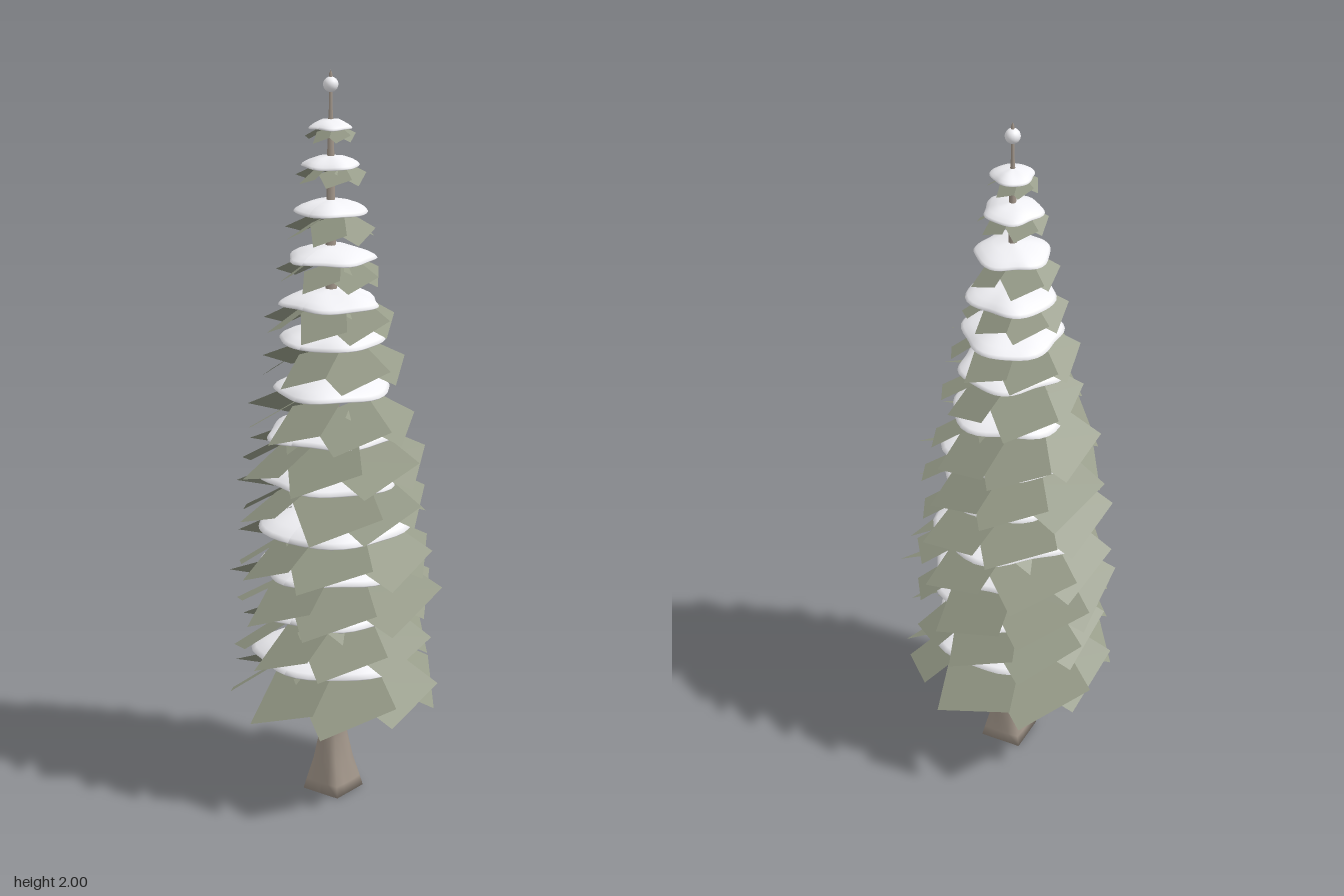
import * as THREE from 'three';
import { mergeGeometries } from 'three/addons/utils/BufferGeometryUtils.js';

// [snow rim height, snow radius, branch reach, lowest branch point, branch count]
const TIERS = [
  [0.4, 0.215, 0.305, 0.255, 8], [0.535, 0.2, 0.285, 0.4, 8], [0.655, 0.2, 0.295, 0.525, 8],
  [0.77, 0.205, 0.28, 0.645, 8], [0.905, 0.185, 0.275, 0.785, 8], [1.03, 0.175, 0.27, 0.905, 8],
  [1.15, 0.155, 0.24, 1.025, 7], [1.285, 0.14, 0.205, 1.175, 7], [1.385, 0.13, 0.18, 1.3, 7],
  [1.505, 0.115, 0.145, 1.435, 7], [1.63, 0.097, 0.125, 1.555, 6], [1.75, 0.075, 0.094, 1.705, 6],
  [1.85, 0.055, 0.068, 1.815, 6],
];

const material = (color, side = THREE.FrontSide) =>
  new THREE.MeshStandardMaterial({ color, side, roughness: 1 });

function seeded(seed) {
  return () => (seed = (seed * 16807) % 2147483647) / 2147483647;
}

// The trunk leans very slightly
const leanX = (y) => -0.018 * Math.min(1, y / 1.6);
const leanZ = (y) => -0.007 * Math.min(1, y / 1.6);

// Lathe whose points are then moved by a rule
function lathe(points, segments, rule) {
  const geometry = new THREE.LatheGeometry(points.map(([r, y]) => new THREE.Vector2(r, y)), segments);
  const p = geometry.attributes.position;
  const v = new THREE.Vector3();
  for (let i = 0; i < p.count; i++) {
    v.fromBufferAttribute(p, i);
    rule(v);
    p.setXYZ(i, v.x, v.y, v.z);
  }
  geometry.computeVertexNormals();
  return geometry;
}

// Flat, drooping branch cards, all rolled the same way like a pinwheel
function branchTier([, , reach, low, count], rand, phase) {
  const jitter = (s) => (rand() - 0.5) * 2 * s;
  const cards = [];
  for (let i = 0; i < count; i++) {
    const size = reach * (0.96 + jitter(0.04));
    const pitch = 0.48 + jitter(0.07);
    const roll = 0.34 + jitter(0.06);
    const width = size * 0.76;
    const run = size * 0.66;
    const card = new THREE.PlaneGeometry(run / Math.cos(pitch), width);
    card.rotateX(-Math.PI / 2);
    card.rotateZ(-pitch);
    card.rotateX(roll);
    card.rotateY(jitter(0.1));
    const drop = run * 0.5 * Math.tan(pitch) * Math.cos(roll) + width * 0.5 * Math.sin(roll);
    card.translate(size * 0.6, low + drop + rand() * reach * 0.06, 0);
    card.rotateY(-(phase + (i / count) * Math.PI * 2 + jitter(0.15)));
    cards.push(card);
  }
  return mergeGeometries(cards);
}

// Hollow snow dome with a thin, lumpy rim
function snowCap(radius, phase) {
  const h = 0.01 + radius * 0.25;
  return lathe([
    [0, h * 0.8], [radius * 0.5, h * 0.62], [radius * 0.8, h * 0.28], [radius * 0.97, 0],
    [radius, h * 0.08], [radius * 0.95, h * 0.26], [radius * 0.8, h * 0.52],
    [radius * 0.5, h * 0.84], [0, h],
  ], 40, (v) => {
    const a = Math.atan2(v.z, v.x);
    const t = Math.hypot(v.x, v.z) / radius;
    const k = 1 + t * (0.04 * Math.sin(3 * a + phase) + 0.05 * Math.sin(5 * a + phase * 2));
    v.x *= k;
    v.z *= k;
    v.y += t * h * 0.05 * Math.sin(4 * a + phase);
  });
}

export function createModel() {
  const tree = new THREE.Group();
  tree.name = 'snowyFir';
  const bark = material(0xa3978b);
  const needles = material(0x959a87, THREE.DoubleSide);
  const snow = material(0xf0f0f4);

  const add = (name, geometry, mat, x = 0, y = 0, z = 0) => {
    const mesh = new THREE.Mesh(geometry, mat);
    mesh.name = name;
    mesh.position.set(x, y, z);
    tree.add(mesh);
  };

  // Flared foot, square at the ground and round at its collar
  add('trunkFoot', lathe([[0, 0], [0.059, 0], [0.056, 0.03], [0.047, 0.09], [0.04, 0.16],
    [0.035, 0.205], [0.04, 0.212], [0.038, 0.24], [0.028, 0.245]], 16, (v) => {
    const a = Math.atan2(v.z, v.x);
    const corner = 1 / Math.max(Math.abs(Math.cos(a)), Math.abs(Math.sin(a)));
    const k = THREE.MathUtils.lerp(corner, 1, Math.min(1, v.y / 0.16));
    v.x *= k;
    v.z *= k;
  }), bark, -0.004);

  // Long thin stem
  add('stem', lathe([[0.031, 0.2], [0.029, 0.4], [0.025, 0.8], [0.019, 1.2], [0.013, 1.6],
    [0.008, 1.85], [0.005, 1.9], [0.004, 1.99], [0, 2]], 8, (v) => {
    v.x += leanX(v.y);
    v.z += leanZ(v.y);
  }), bark);

  // Tiers of branches, each under its own snow cap
  const rand = seeded(4217);
  TIERS.forEach((tier, i) => {
    const [y, radius] = tier;
    add('branches' + (i + 1), branchTier(tier, rand, i * 0.83), needles, leanX(y), 0, leanZ(y));
    add('snowCap' + (i + 1), snowCap(radius, i * 1.7), snow, leanX(y), y, leanZ(y));
  });

  // Snowball on the tip
  add('tipSnow', new THREE.SphereGeometry(0.02, 16, 12), snow, leanX(2), 1.962, leanZ(2));
  return tree;
}
